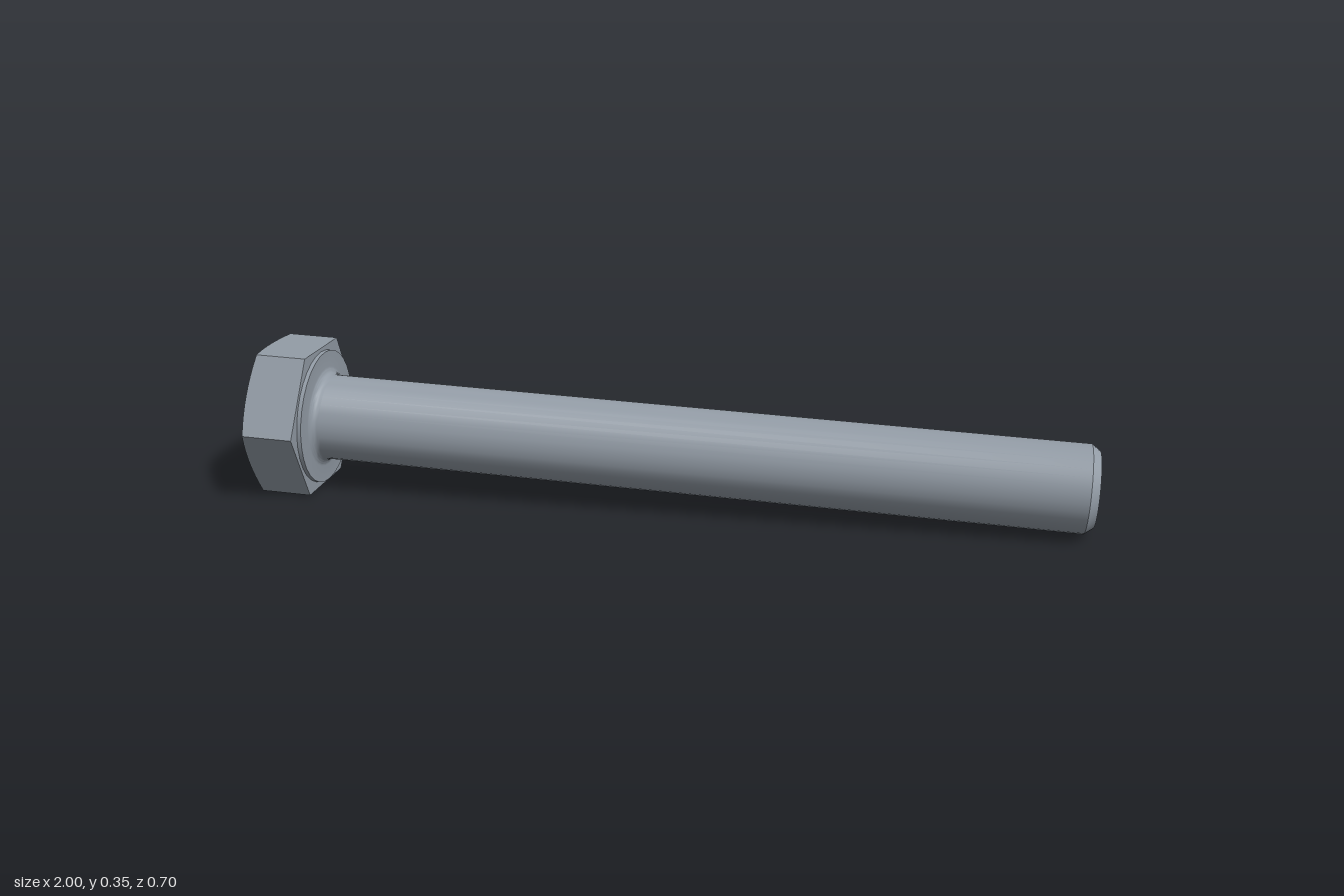
import * as THREE from 'three';
import { toCreasedNormals } from 'three/addons/utils/BufferGeometryUtils.js';

const HEX = 0.2;        // head corner radius
const THICK = 0.122;    // head thickness at the corners
const DOME = 0.03;      // height of the domed head end
const SPHERE = (HEX * HEX + DOME * DOME) / (2 * DOME);

// Distance from the axis to the hexagon outline at an angle (corners on the z axis)
function hexRadius(angle) {
  const s = Math.PI / 3;
  const a = ((angle % s) + s) % s - s / 2;
  return HEX * Math.cos(Math.PI / 6) / Math.cos(a);
}
const domeY = r => -THICK - DOME + SPHERE - Math.sqrt(SPHERE * SPHERE - r * r);

export function createModel() {
  const steel = new THREE.MeshStandardMaterial({ color: 0x929ba5 });
  steel.name = 'steel grey';
  const bolt = new THREE.Group();
  bolt.name = 'bolt';
  const add = (name, geometry, parent) => {
    const mesh = new THREE.Mesh(geometry, steel);
    mesh.name = name;
    parent.add(mesh);
  };

  // Lying bolt: local y runs from under the head to the tip
  const start = new THREE.Vector3(-0.835, 0.172, -0.133);
  const tip = new THREE.Vector3(0.98, 0.107, 0.253);
  const length = start.distanceTo(tip);
  const along = tip.clone().sub(start).normalize();
  const up = new THREE.Vector3(0, 1, 0).addScaledVector(along, -along.y).normalize();
  const side = new THREE.Vector3().crossVectors(up, along);
  bolt.quaternion.setFromRotationMatrix(new THREE.Matrix4().makeBasis(up, along, side));
  bolt.position.copy(start);

  // Washer face, fillet, shank and chamfered tip
  const profile = [[0.164, -0.005], [0.164, 0.01]];
  for (let i = 0; i <= 6; i++) {
    const a = i / 6 * Math.PI / 2;
    profile.push([0.124 - 0.02 * Math.sin(a), 0.03 - 0.02 * Math.cos(a)]);
  }
  profile.push([0.104, length - 0.02], [0.089, length], [0, length]);
  const shank = new THREE.LatheGeometry(profile.map(p => new THREE.Vector2(...p)), 32);
  add('shank', toCreasedNormals(shank, 0.5), bolt);

  const head = new THREE.Group();
  head.name = 'head';
  bolt.add(head);

  // Domed end trimmed to the hexagon
  const dome = new THREE.RingGeometry(0, 1, 48, 6);
  dome.rotateX(Math.PI / 2);
  const p = dome.attributes.position;
  for (let i = 0; i < p.count; i++) {
    const k = hexRadius(Math.atan2(p.getX(i), p.getZ(i)));
    const x = p.getX(i) * k, z = p.getZ(i) * k;
    const y = domeY(Math.hypot(x, z));
    p.setXYZ(i, x, y, z);
    dome.attributes.normal.setXYZ(i, x / SPHERE, (y + THICK + DOME - SPHERE) / SPHERE, z / SPHERE);
  }
  add('headDome', dome, head);

  // Six flats whose outer edge follows the dome
  const tube = new THREE.CylinderGeometry(1, 1, 1, 48, 1, true);
  const q = tube.attributes.position;
  for (let i = 0; i < q.count; i++) {
    const r = hexRadius(Math.atan2(q.getX(i), q.getZ(i)));
    q.setXYZ(i, q.getX(i) * r, q.getY(i) > 0 ? 0 : domeY(r), q.getZ(i) * r);
  }
  const flats = tube.toNonIndexed();
  flats.computeVertexNormals();
  add('headFlats', flats, head);

  // Bearing side of the head
  const underside = new THREE.CircleGeometry(HEX, 6, Math.PI / 2);
  underside.rotateX(-Math.PI / 2);
  add('headUnderside', underside, head);

  const model = new THREE.Group();
  model.name = 'hexBolt';
  model.add(bolt);
  return model;
}
